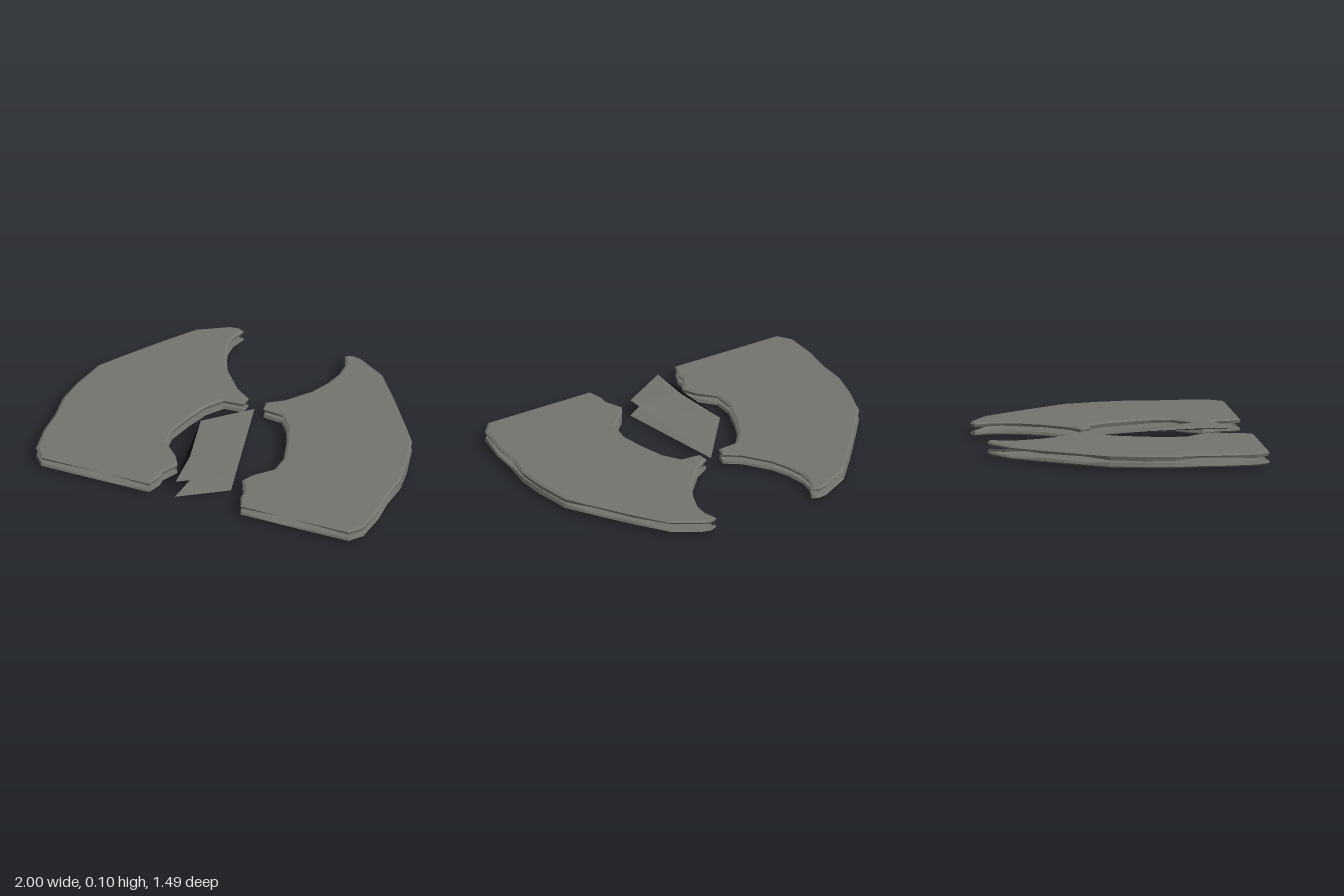
import * as THREE from 'three';

const MID = 0.05; // height of the split between upper and lower shells

// Outline of one wing: x, z, half-height of the open seam at that point
const OUTLINE = [
  [0.30, -0.73, 0.012], [0.34, -0.75, 0.015], [0.39, -0.74, 0.018], [0.55, -0.65, 0.02],
  [0.68, -0.49, 0.012], [0.83, -0.29, 0.016], [0.93, -0.15, 0.006], [0.98, 0.05, 0.003],
  [1.0, 0.2, 0.006], [0.985, 0.35, 0.018], [0.99, 0.5, 0.016], [0.97, 0.67, 0.008],
  [0.91, 0.74, 0.012], [0.5, 0.74, 0.025], [0.27, 0.74, 0.012], [0.24, 0.66, 0.014],
  [0.24, 0.61, 0.01], [0.19, 0.52, 0.008], [0.23, 0.45, 0.01], [0.32, 0.36, 0.014],
  [0.33, 0.25, 0.01], [0.29, 0.11, 0.008], [0.24, -0.02, 0.008], [0.17, -0.11, 0.01],
  [0.06, -0.12, 0.008], [0.05, -0.18, 0.01], [0.14, -0.24, 0.014], [0.25, -0.37, 0.014],
  [0.30, -0.47, 0.012], [0.33, -0.57, 0.014], [0.33, -0.65, 0.012],
];

function geometryFrom(triangles) {
  const g = new THREE.BufferGeometry();
  g.setAttribute('position', new THREE.Float32BufferAttribute(triangles.flat(2), 3));
  g.computeVertexNormals();
  return g;
}

// One half of a wing: seam edge, rim and inset flat cap. s mirrors x, k is 1 above, -1 below.
function shellGeometry(s, k) {
  const n = OUTLINE.length;
  const ring = (inset, height) => OUTLINE.map(([x, z, gap], i) => {
    const a = OUTLINE[(i + n - 1) % n], b = OUTLINE[(i + 1) % n];
    const dx = b[0] - a[0], dz = b[1] - a[1], len = Math.hypot(dx, dz);
    return [s * (x - dz / len * inset), MID + k * (height ?? gap), z + dx / len * inset];
  });
  const rings = [ring(0.006), ring(0, 0.028), ring(0.014, 0.037)];
  const tris = [];
  const add = (a, b, c, flip) => tris.push(flip ? [a, c, b] : [a, b, c]);

  // Rim walls
  for (let r = 0; r < 2; r++) {
    for (let i = 0; i < n; i++) {
      const j = (i + 1) % n, low = rings[r], high = rings[r + 1];
      add(low[i], high[i], low[j], s * k < 0);
      add(high[i], high[j], low[j], s * k < 0);
    }
  }
  // Cap
  const cap = rings[2];
  const flat = cap.map((p) => new THREE.Vector2(p[0], p[2]));
  for (const [ia, ib, ic] of THREE.ShapeUtils.triangulateShape(flat, [])) {
    const a = cap[ia], b = cap[ib], c = cap[ic];
    const ny = (b[2] - a[2]) * (c[0] - a[0]) - (b[0] - a[0]) * (c[2] - a[2]);
    add(a, b, c, ny * k < 0);
  }
  return geometryFrom(tris);
}

export function createModel() {
  const grey = new THREE.MeshStandardMaterial({ color: 0x74746e, flatShading: true, side: THREE.DoubleSide });
  grey.name = 'stone grey';
  const black = new THREE.MeshStandardMaterial({ color: 0x080808, flatShading: true, side: THREE.DoubleSide });
  black.name = 'black';

  const model = new THREE.Group();
  model.name = 'wingedPlates';
  const add = (parent, name, geometry, material) => {
    const mesh = new THREE.Mesh(geometry, material);
    mesh.name = name;
    parent.add(mesh);
  };

  // Mirrored wings, each an upper and a lower shell
  for (const s of [1, -1]) {
    const wing = new THREE.Group();
    wing.name = s > 0 ? 'leftWing' : 'rightWing';
    add(wing, 'upperShell', shellGeometry(s, 1), grey);
    add(wing, 'lowerShell', shellGeometry(s, -1), grey);
    model.add(wing);
  }

  // Central blades meeting at the back tip and spreading towards the front
  const tip = [0, 0.05, -0.14];
  const side = [-0.21, 0.1, 0.13], inner = [-0.145, 0.1, 0.45];
  const corner = [0.13, 0.1, 0.53], end = [-0.135, 0.098, 0.69];
  add(model, 'upperBlade', geometryFrom([
    [tip, side, corner], [side, inner, corner], [inner, end, corner],
  ]), grey);
  add(model, 'bladeFold', geometryFrom([[side, end, inner]]), black);
  add(model, 'lowerBlade', geometryFrom([
    [tip, [0.13, 0, 0.53], [-0.135, 0, 0.7]],
  ]), grey);
  return model;
}
